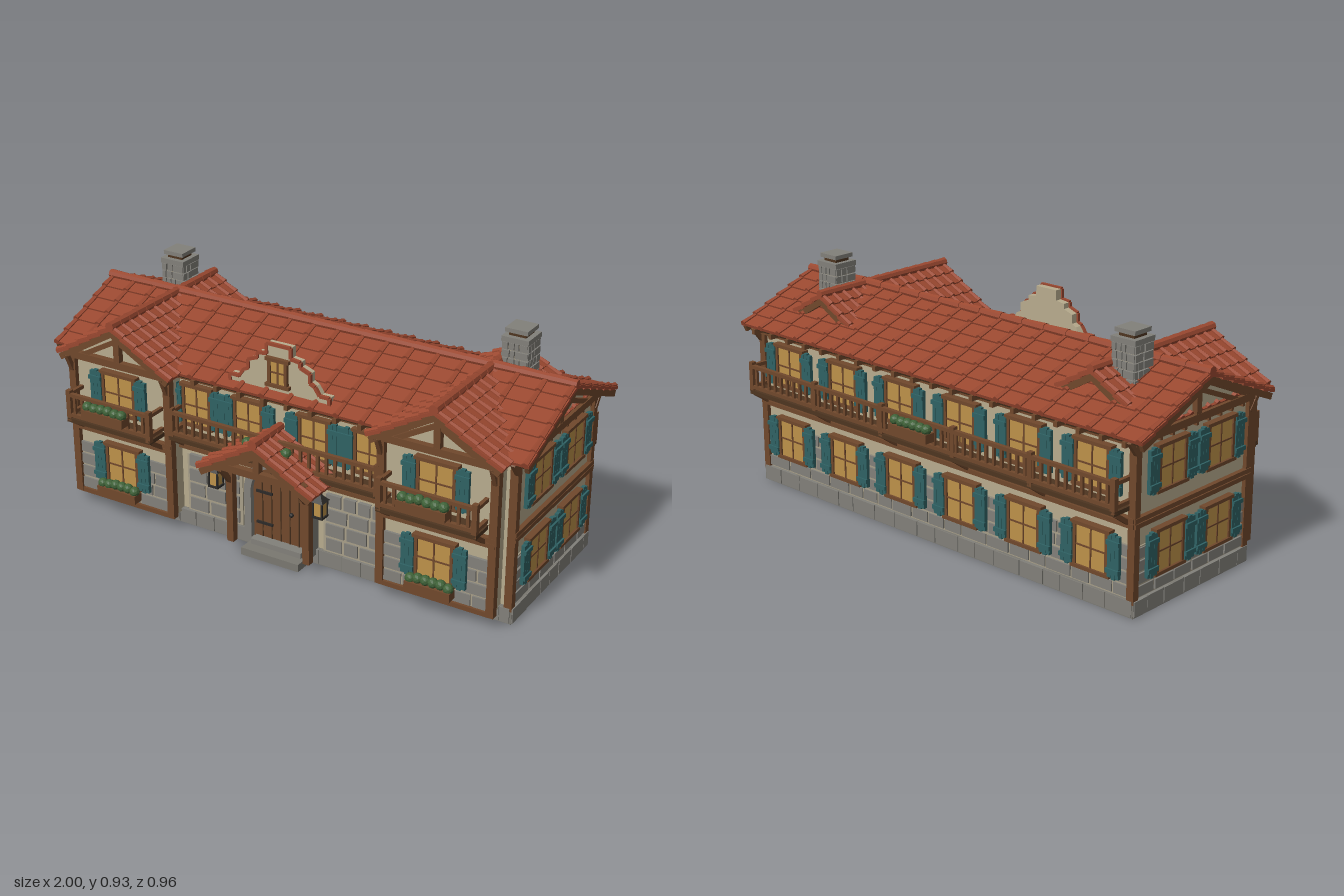
import * as THREE from 'three';

const C = { plaster: 0xb8ac8e, wood: 0x70482c, dark: 0x4e3520, tile: 0x9a4830, shutter: 0x2f6264, glass: 0xbd9249,
  stone: 0x82807a, mortar: 0xa89f88, plinth: 0x7a7870, leaf: 0x3f6238, iron: 0x2c2a28 };
const mats = {};
const mat = c => mats[c] ??= new THREE.MeshStandardMaterial({ color: c, flatShading: true, side: THREE.DoubleSide });
const V = (x, y, z) => new THREE.Vector3(x, y, z);
let seed = 7;
const rnd = () => (seed = (seed * 16807) % 2147483647) / 2147483647;

function mesh(parent, name, color, geo, x = 0, y = 0, z = 0) {
  const m = new THREE.Mesh(geo, mat(color));
  m.name = name;
  m.position.set(x, y, z);
  parent.add(m);
  return m;
}
const box = (p, name, c, w, h, d, x, y, z) => mesh(p, name, c, new THREE.BoxGeometry(w, h, d), x, y, z);

// Square timber running from a to b in its parent's space
function beam(p, name, a, b, t = 0.02, c = C.wood) {
  const m = box(p, name, c, t, t, a.distanceTo(b), 0, 0, 0);
  m.position.copy(a).add(b).multiplyScalar(0.5);
  m.quaternion.setFromRotationMatrix(new THREE.Matrix4().lookAt(b, a, m.up));
}
function group(parent, name, x = 0, y = 0, z = 0, ry = 0) {
  const g = new THREE.Group();
  g.name = name;
  g.position.set(x, y, z);
  g.rotation.y = ry;
  parent.add(g);
  return g;
}
function prism(p, name, c, pts, depth, z0) {
  const geo = new THREE.ExtrudeGeometry(new THREE.Shape(pts.map(q => new THREE.Vector2(...q))), { depth, bevelEnabled: false });
  return mesh(p, name, c, geo, 0, 0, z0);
}

// Tiled gable roof, ridge along local x
function roof(p, name, len, run, drop, courses, cols, x, y, z, ry = 0) {
  const g = group(p, name, x, y, z, ry), L = Math.hypot(run, drop), step = L / courses;
  for (const turn of [0, Math.PI]) {
    const slope = group(group(g, 'roofSide', 0, 0, 0, turn), 'roofSlope');
    slope.rotation.x = Math.atan2(drop, run);
    box(slope, 'soffit', C.dark, len - 0.02, 0.01, L - 0.01, 0, -0.018, L / 2);
    for (const s of [-1, 1]) box(slope, 'bargeboard', C.wood, 0.016, 0.024, L, s * (len / 2 - 0.012), -0.024, L / 2);
    for (let i = 0; i < courses; i++) {
      const zc = (i + 0.5) * step;
      box(slope, 'tileCourse', C.tile, len, 0.012, step * 1.08, 0, -0.005, zc).rotation.x = -0.1;
      for (let k = 0; k <= cols; k++) {
        const roll = new THREE.CylinderGeometry(0.013, 0.009, step * 1.1, 6).rotateX(Math.PI / 2);
        mesh(slope, 'tileRoll', C.tile, roll, (k / cols - 0.5) * (len - 0.028), 0, zc).rotation.x = -0.08;
      }
    }
  }
  for (let k = 0; k < cols; k++) {
    const cap = new THREE.CylinderGeometry(0.019, 0.016, len / cols, 8).rotateZ(Math.PI / 2);
    mesh(g, 'ridgeTile', C.tile, cap, ((k + 0.5) / cols - 0.5) * len, 0.003, 0);
  }
}

// Timber gable truss facing +z
function truss(p, w, base, peak, x, z, ry = 0) {
  const g = group(p, 'gableTruss', x, 0, z, ry);
  box(g, 'tieBeam', C.wood, 2 * w, 0.028, 0.025, 0, base, 0);
  box(g, 'kingPost', C.wood, 0.026, peak - base, 0.024, 0, (peak + base) / 2, 0);
  for (const s of [-1, 1]) {
    beam(g, 'rafter', V(s * w, base, 0), V(0, peak, 0), 0.024);
    beam(g, 'brace', V(s * w * 0.75, base, 0), V(0, base + (peak - base) * 0.72, 0), 0.018);
  }
}

function planter(p, w, x, y, z, ry = 0) {
  const g = group(p, 'planter', x, y, z, ry);
  box(g, 'planterBox', C.wood, w, 0.034, 0.042, 0, 0, 0);
  const n = Math.round(w / 0.032);
  for (let i = 0; i < n; i++)
    mesh(g, 'plant', C.leaf, new THREE.IcosahedronGeometry(0.02, 1), ((i + 0.5) / n - 0.5) * w, 0.024 + rnd() * 0.008, 0);
}

// Shuttered window facing +z
function windowUnit(p, x, y, z, ry = 0, w = 0.14, h = 0.16, shutters = true) {
  const g = group(p, 'window', x, y, z, ry);
  box(g, 'pane', C.glass, w, h, 0.012, 0, 0, 0);
  for (const s of [-1, 1]) {
    box(g, 'frameSide', C.wood, 0.012, h + 0.012, 0.024, s * w / 2, 0, 0);
    box(g, 'frameRail', C.wood, w + 0.03, 0.013, 0.03, 0, s * h / 2, 0);
    if (!shutters) continue;
    const sh = group(g, 'shutter', s * (w / 2 + 0.033), 0, 0.008);
    for (const k of [-1, 0, 1]) box(sh, 'shutterBoard', C.shutter, 0.016, h + (k ? -0.006 : 0.006), 0.014, k * 0.0168, 0, 0);
    for (const k of [-1, 1]) box(sh, 'shutterBatten', C.shutter, 0.055, 0.016, 0.012, 0, k * h * 0.32, 0.008);
  }
  box(g, 'mullion', C.wood, 0.006, h, 0.018, 0, 0, 0);
  box(g, 'glazingBar', C.wood, w, 0.006, 0.018, 0, 0, 0);
}

// Coursed stone facing +z between y0 and y1
function stones(p, len, y0, y1, rows, x, z, ry = 0, size = 0.1, gap = 0.009) {
  const g = group(p, 'stoneFacing', x, 0, z, ry), h = (y1 - y0) / rows;
  for (let r = 0; r < rows; r++)
    for (let a = -len / 2; a < len / 2 - 0.005;) {
      let w = Math.min(size * (0.75 + rnd() * 0.5), len / 2 - a);
      if (len / 2 - a - w < 0.03) w = len / 2 - a;
      box(g, 'stone', C.stone, w - gap, h - gap, 0.012 + rnd() * 0.006, a + w / 2, y0 + (r + 0.5) * h, 0);
      a += w;
    }
}

// Balcony projecting towards +z from its wall line
function balcony(p, len, depth, x, z, ry = 0) {
  const g = group(p, 'balcony', x, 0, z, ry), n = Math.round(len / 0.036), posts = Math.max(1, Math.round(len / 0.4));
  box(g, 'balconyFloor', C.dark, len, 0.016, depth, 0, 0.395, depth / 2);
  for (const y of [0.417, 0.5]) {
    box(g, 'rail', C.wood, len, 0.014, 0.016, 0, y, depth - 0.008);
    for (const s of [-1, 1]) box(g, 'sideRail', C.wood, 0.014, 0.014, depth, s * (len / 2 - 0.008), y, depth / 2);
  }
  for (let i = 1; i < n; i++) box(g, 'baluster', C.wood, 0.011, 0.08, 0.01, (i / n - 0.5) * len, 0.458, depth - 0.008);
  for (let i = 0; i <= posts; i++) {
    const px = (i / posts - 0.5) * (len - 0.02);
    box(g, 'railPost', C.wood, 0.02, 0.125, 0.02, px, 0.455, depth - 0.01);
    beam(g, 'bracket', V(px, 0.335, 0), V(px, 0.39, depth - 0.012), 0.016);
  }
}

export function createModel() {
  const m = new THREE.Group();
  m.name = 'house';
  const H = Math.PI / 2, mid = -0.035;

  // Main body and plinth
  const body = prism(m, 'mainWalls', C.plaster,
    [[-0.275, 0.05], [0.345, 0.05], [0.345, 0.635], [0.035, 0.765], [-0.275, 0.635]], 1.86, 0);
  body.rotation.y = H;
  body.position.x = -0.93;
  box(m, 'plinth', C.plinth, 1.89, 0.062, 0.65, 0, 0.031, mid);
  for (const s of [-1, 1]) {
    stones(m, 0.65, 0.002, 0.064, 1, s * 0.941, mid, s * H, 0.1, 0.004);
    stones(m, 1.88, 0.002, 0.064, 1, 0, mid + s * 0.321, s > 0 ? 0 : Math.PI, 0.1, 0.004);
    box(m, 'stoneBacking', C.mortar, 0.006, 0.19, 0.6, s * 0.932, 0.155, mid);
    stones(m, 0.6, 0.064, 0.25, 4, s * 0.934, mid, s * H);
  }
  box(m, 'stoneBacking', C.mortar, 1.84, 0.2, 0.006, 0, 0.16, -0.347);
  stones(m, 1.84, 0.064, 0.26, 4, 0, -0.348, Math.PI);
  roof(m, 'mainRoof', 2, 0.368, 0.152, 6, 19, 0, 0.803, mid);

  // Horizontal timbers and eaves on the long walls
  for (const [z, w] of [[0.282, 0.94], [-0.352, 1.88]]) {
    for (const y of [0.333, 0.353]) box(m, 'floorBeam', C.wood, w, 0.017, 0.026, 0, y, z);
    box(m, 'eaveBeam', C.wood, w, 0.025, 0.026, 0, 0.625, z);
    const n = Math.round(w / 0.1), out = Math.sign(z - mid);
    for (let i = 0; i <= n; i++) box(m, 'rafterTail', C.wood, 0.016, 0.02, 0.06, (i / n - 0.5) * (w - 0.03), 0.63, z + out * 0.025);
  }

  for (const s of [-1, 1]) {
    // Side walls
    for (const z of [0.277, -0.347]) box(m, 'cornerPost', C.wood, 0.03, 0.58, 0.028, s * 0.93, 0.34, z);
    for (const y of [0.333, 0.353]) box(m, 'floorBeam', C.wood, 0.026, 0.017, 0.65, s * 0.935, y, mid);
    truss(m, 0.325, 0.632, 0.772, s * 0.938, mid, s * H);
    for (let i = 0; i < 9; i++) box(m, 'dentil', C.wood, 0.022, 0.014, 0.012, s * 0.935, 0.612, mid + (i - 4) * 0.066);
    for (const z of [0.1, -0.17]) for (const y of [0.207, 0.508]) windowUnit(m, s * 0.94, y, z, s * H);
    for (const e of [-1, 1]) beam(m, 'eaveBrace', V(s * 0.94, 0.575, mid + e * 0.31), V(s * 0.94, 0.64, mid + e * 0.36), 0.016);

    // Front wing
    const w = group(m, 'wing', s * 0.675, 0, 0);
    prism(w, 'wingWalls', C.plaster, [[-0.22, 0.05], [0.22, 0.05], [0.22, 0.635], [0, 0.76], [-0.22, 0.635]], 0.145, 0.2);
    box(w, 'stoneBacking', C.mortar, 0.43, 0.2, 0.006, 0, 0.16, 0.346);
    stones(w, 0.42, 0.064, 0.27, 4, 0, 0.348);
    for (const e of [-1, 1]) {
      box(w, 'wingPost', C.wood, 0.03, 0.59, 0.028, e * 0.22, 0.345, 0.35);
      beam(w, 'eaveBrace', V(e * 0.22, 0.57, 0.36), V(e * 0.22, 0.64, 0.39), 0.016);
    }
    for (const y of [0.333, 0.353]) box(w, 'floorBeam', C.wood, 0.46, 0.017, 0.03, 0, y, 0.35);
    box(w, 'sillBeam', C.wood, 0.44, 0.018, 0.024, 0, 0.057, 0.35);
    truss(w, 0.235, 0.635, 0.77, 0, 0.357);
    for (const y of [0.212, 0.515]) windowUnit(w, 0, y, 0.358);
    roof(w, 'wingRoof', 0.68, 0.26, 0.152, 5, 13, 0, 0.8, 0.06, H);
    balcony(w, 0.39, 0.09, 0, 0.35);
    planter(w, 0.18, 0, 0.112, 0.395);
    planter(w, 0.19, 0, 0.458, 0.456);

    // Chimney
    const c = group(m, 'chimney', s * 0.735, 0, -0.132);
    box(c, 'chimneyCore', C.mortar, 0.086, 0.25, 0.086, 0, 0.75, 0);
    for (let k = 0; k < 4; k++) {
      const face = group(c, 'chimneyFace', 0, 0, 0, k * H);
      stones(face, 0.1, 0.67, 0.88, 7, 0, 0.044, 0, 0.024, 0.004);
    }
    box(c, 'chimneyCollar', C.stone, 0.106, 0.02, 0.106, 0, 0.89, 0);
    box(c, 'flue', C.dark, 0.066, 0.018, 0.066, 0, 0.907, 0);
    box(c, 'chimneyCap', C.stone, 0.088, 0.016, 0.088, 0, 0.922, 0);

    // Central bay
    for (const x of [0.14, 0.37]) windowUnit(m, s * x, 0.512, 0.284, 0, 0.115, 0.16);
    box(m, 'stoneBacking', C.mortar, 0.25, 0.24, 0.006, s * 0.302, 0.182, 0.28);
    stones(m, 0.235, 0.066, 0.31, 4, s * 0.302, 0.282, 0, 0.08, 0.012);
  }
  balcony(m, 0.9, 0.085, 0, 0.28);
  planter(m, 0.2, 0, 0.455, 0.385);

  // Rear windows and gallery
  for (let i = 0; i < 6; i++) for (const y of [0.207, 0.508]) windowUnit(m, (i - 2.5) * 0.305, y, -0.36, Math.PI);
  balcony(m, 1.84, 0.09, 0, -0.35, Math.PI);
  planter(m, 0.19, 0, 0.458, -0.461, Math.PI);

  // Stepped gable above the entrance
  const half = [[0.21, 0.655], [0.21, 0.69], [0.17, 0.69], [0.15, 0.72], [0.13, 0.73], [0.13, 0.765], [0.09, 0.78], [0.09, 0.8], [0.05, 0.805], [0.05, 0.845]];
  const outline = [...half, ...half.map(([x, y]) => [-x, y]).reverse()];
  prism(m, 'steppedGable', C.plaster, outline, 0.034, 0.264);
  for (let i = 1; i < outline.length; i++)
    beam(m, 'gableTrim', V(...outline[i - 1], 0.297), V(...outline[i], 0.297), 0.012, C.tile);
  windowUnit(m, 0, 0.742, 0.3, 0, 0.07, 0.1, false);

  // Arched door with stone surround
  const arch = (r, y0) => {
    const s = new THREE.Shape();
    s.moveTo(-r, y0);
    s.lineTo(r, y0);
    s.lineTo(r, 0.24);
    s.absarc(0, 0.24, r, 0, Math.PI, false);
    s.lineTo(-r, y0);
    return s;
  };
  const ring = arch(0.15, 0.04);
  ring.holes.push(arch(0.12, 0.045));
  mesh(m, 'doorSurround', C.stone, new THREE.ExtrudeGeometry(ring, { depth: 0.045, bevelEnabled: false }), 0, 0, 0.27);
  mesh(m, 'door', C.wood, new THREE.ExtrudeGeometry(arch(0.122, 0.045), { depth: 0.02, bevelEnabled: false }), 0, 0, 0.275);
  for (let i = -2; i <= 2; i++) box(m, 'doorGroove', C.dark, 0.004, 0.28, 0.004, i * 0.04, 0.19, 0.296);
  for (const y of [0.11, 0.24]) box(m, 'doorHinge', C.iron, 0.07, 0.01, 0.006, -0.07, y, 0.298);
  mesh(m, 'doorKnob', C.iron, new THREE.IcosahedronGeometry(0.009, 1), 0.05, 0.18, 0.302);
  box(m, 'lowerStep', C.plinth, 0.25, 0.03, 0.1, 0, 0.015, 0.328);
  box(m, 'upperStep', C.stone, 0.22, 0.022, 0.05, 0, 0.041, 0.31);

  // Porch with lanterns
  roof(m, 'porchRoof', 0.19, 0.245, 0.145, 4, 4, 0, 0.525, 0.383, H);
  truss(m, 0.2, 0.395, 0.5, 0, 0.445);
  for (const s of [-1, 1]) {
    box(m, 'porchPost', C.wood, 0.028, 0.34, 0.028, s * 0.165, 0.22, 0.375);
    box(m, 'porchBeam', C.wood, 0.026, 0.026, 0.17, s * 0.165, 0.385, 0.37);
    beam(m, 'porchBrace', V(s * 0.165, 0.3, 0.38), V(s * 0.165, 0.38, 0.445), 0.018);
    const l = group(m, 'lantern', s * 0.225, 0.3, 0.385);
    box(l, 'lanternGlass', C.glass, 0.034, 0.055, 0.034, 0, 0, 0);
    for (const a of [-1, 1]) for (const b of [-1, 1]) box(l, 'lanternBar', C.iron, 0.006, 0.062, 0.006, a * 0.018, 0, b * 0.018);
    box(l, 'lanternBase', C.iron, 0.044, 0.008, 0.044, 0, -0.032, 0);
    mesh(l, 'lanternHood', C.iron, new THREE.ConeGeometry(0.036, 0.03, 4).rotateY(Math.PI / 4), 0, 0.044, 0);
    box(l, 'lanternArm', C.iron, 0.07, 0.008, 0.008, -s * 0.028, 0.06, 0);
  }
  return m;
}
